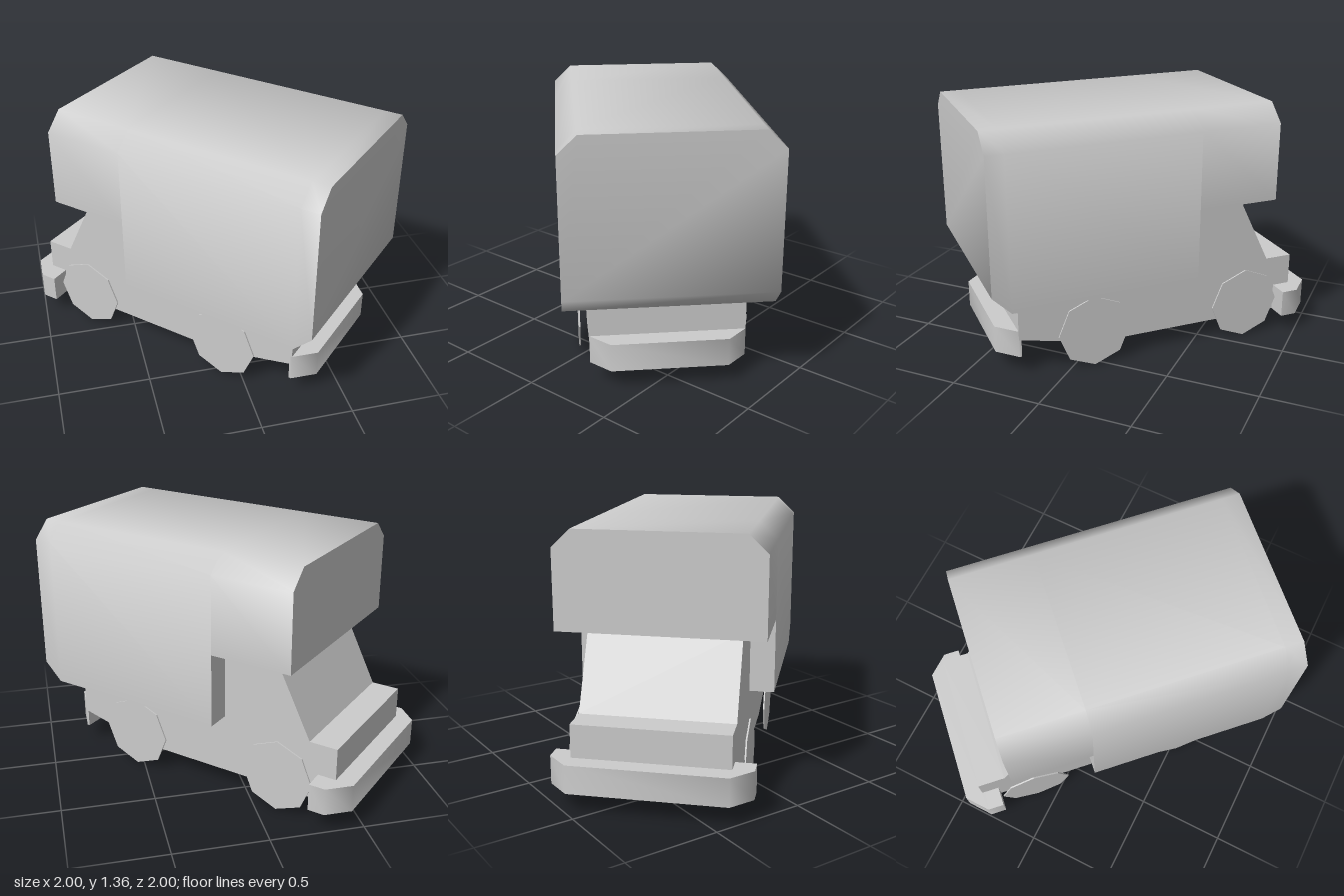
import * as THREE from 'three';
import { toCreasedNormals } from 'three/addons/utils/BufferGeometryUtils.js';

// Local frame: +z is the tail of the vehicle, x is across, y is up.
const CREASE = 0.9;

// Prism from a 2D outline
function prism(points, depth) {
  const shape = new THREE.Shape(points.map(([x, y]) => new THREE.Vector2(x, y)));
  return new THREE.ExtrudeGeometry(shape, { depth, bevelEnabled: false });
}

// Side outline (z, y) extruded across the width
function sideProfile(points, width) {
  const g = prism(points, width);
  g.translate(0, 0, -width / 2);
  g.rotateY(-Math.PI / 2);
  return toCreasedNormals(g, CREASE);
}

// Mirrored plan outline (x, z) extruded downward from the top height
function planProfile(half, top, height) {
  const mirrored = half.map(([x, z]) => [-x, z]).reverse();
  const g = prism([...half, ...mirrored], height);
  g.rotateX(Math.PI / 2);
  g.translate(0, top, 0);
  return toCreasedNormals(g, CREASE);
}

// Camper box: cross-sections along z, each with its own floor height
function camperGeometry() {
  const stations = [[-0.707, 0.84], [-0.255, 0.84], [-0.255, 0.435], [0.777, 0.435], [0.877, 0.535]];
  const w = 0.537, c = 0.438;
  const rings = stations.map(([z, floor]) => [
    [-w, floor, z], [w, floor, z], [w, 1.265, z], [c, 1.36, z], [-c, 1.36, z], [-w, 1.265, z],
  ]);
  const n = rings[0].length, pos = [];
  const tri = (...corners) => corners.forEach((p) => pos.push(...p));
  for (let i = 0; i < rings.length - 1; i++) {
    for (let j = 0; j < n; j++) {
      const k = (j + 1) % n;
      tri(rings[i][j], rings[i][k], rings[i + 1][k]);
      tri(rings[i][j], rings[i + 1][k], rings[i + 1][j]);
    }
  }
  const front = rings[0], back = rings[rings.length - 1];
  for (let j = 1; j < n - 1; j++) {
    tri(front[0], front[j + 1], front[j]);
    tri(back[0], back[j], back[j + 1]);
  }
  const g = new THREE.BufferGeometry();
  g.setAttribute('position', new THREE.Float32BufferAttribute(pos, 3));
  g.computeVertexNormals();
  return toCreasedNormals(g, CREASE);
}

export function createModel() {
  const model = new THREE.Group();
  model.name = 'camperVan';
  const vehicle = new THREE.Group();
  vehicle.name = 'vehicle';
  vehicle.rotation.y = Math.PI / 4;
  model.add(vehicle);

  const grey = new THREE.MeshStandardMaterial({ color: 0xcccccc });
  grey.name = 'plainGrey';

  const add = (name, geometry) => {
    const mesh = new THREE.Mesh(geometry, grey);
    mesh.name = name;
    vehicle.add(mesh);
    return mesh;
  };

  // Living box with the overhang above the cab
  add('camperBox', camperGeometry());

  // Cab and chassis, with the underside rising at the tail
  add('cabAndChassis', sideProfile([
    [-0.912, 0.105], [0.28, 0.105], [0.714, 0.205], [0.714, 0.435], [-0.25, 0.435],
    [-0.25, 0.84], [-0.555, 0.84], [-0.757, 0.43], [-0.912, 0.43],
  ], 0.806));

  // Bumpers
  add('frontBumper', planProfile([[0.404, -1.01], [0.511, -0.904], [0.511, -0.813]], 0.255, 0.15));
  add('rearBumper', planProfile([[0.403, 0.7], [0.403, 0.714], [0.3, 0.817]], 0.255, 0.15));

  // Flat eight-sided wheels
  for (const [end, z] of [['front', -0.597], ['rear', 0.307]]) {
    for (const [side, x] of [['Left', 0.448], ['Right', -0.448]]) {
      const g = new THREE.CylinderGeometry(0.202, 0.202, 0.008, 8);
      g.rotateZ(Math.PI / 2);
      add(end + side + 'Wheel', toCreasedNormals(g, 0.5)).position.set(x, 0.202, z);
    }
  }
  return model;
}
